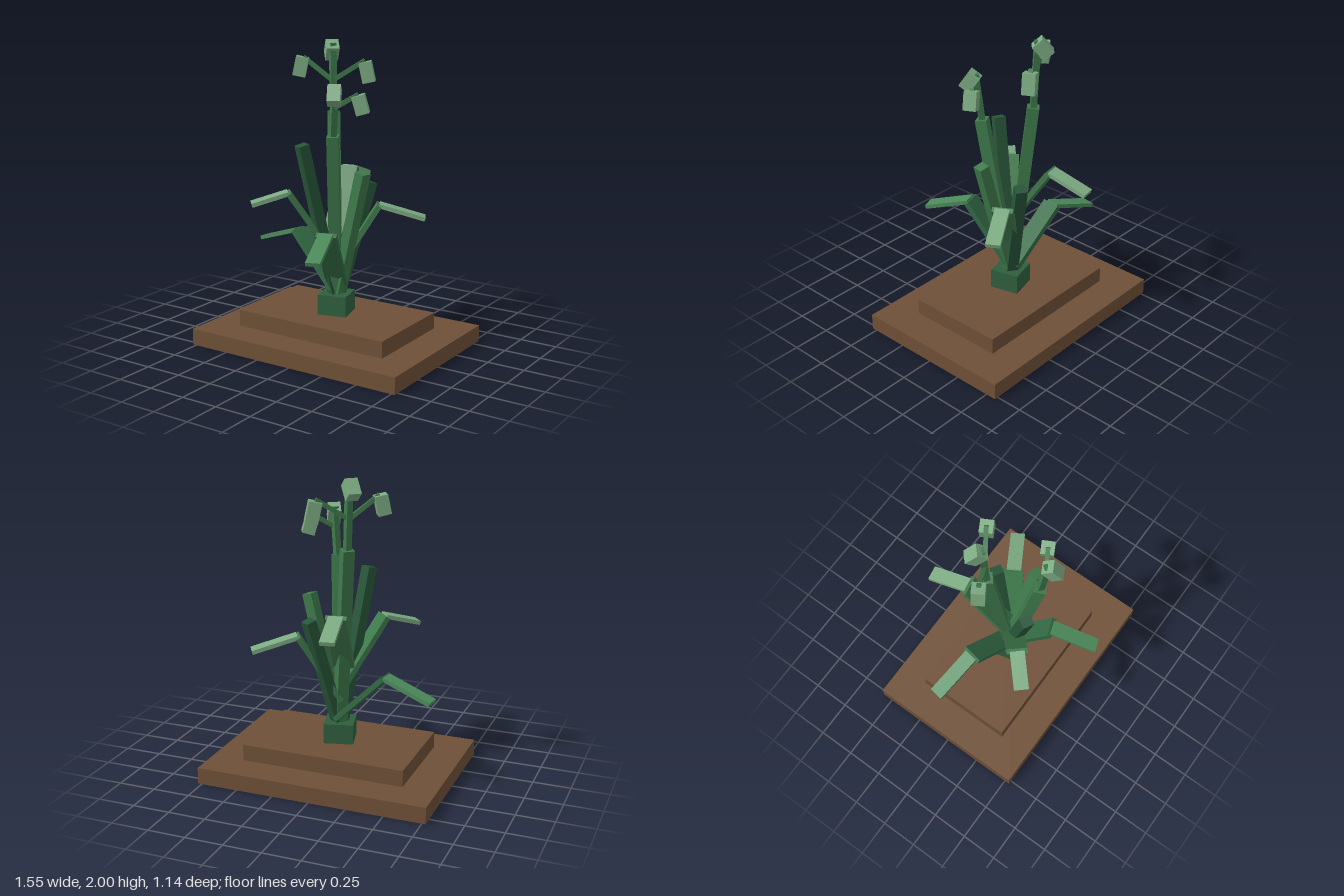
import * as THREE from 'three';

const mat = (name, color) => {
  const m = new THREE.MeshStandardMaterial({ color });
  m.name = name;
  return m;
};

export function createModel() {
  const root = new THREE.Group();
  root.name = 'pottedFlower';

  const soil = mat('soilBrown', 0x6f5037);
  const crownGreen = mat('crownGreen', 0x2f5f3e);
  const darkGreen = mat('darkGreen', 0x28563a);
  const midGreen = mat('midGreen', 0x3f7a4c);
  const deepLeaf = mat('deepLeafGreen', 0x336b45);
  const freshLeaf = mat('freshLeafGreen', 0x4c8a5a);
  const paleGreen = mat('paleGreen', 0x7cab82);

  const add = (parent, name, geometry, material) => {
    const mesh = new THREE.Mesh(geometry, material);
    mesh.name = name;
    parent.add(mesh);
    return mesh;
  };

  // Box running from a to b; its width stays level, across the given heading
  const beam = (parent, name, a, b, width, depth, material, heading) => {
    const p = new THREE.Vector3(...a), q = new THREE.Vector3(...b);
    const up = q.clone().sub(p);
    const length = up.length();
    up.normalize();
    const h = heading ? new THREE.Vector3(heading[0], 0, heading[1]) : new THREE.Vector3(up.x, 0, up.z);
    const side = new THREE.Vector3(h.z, 0, -h.x);
    side.addScaledVector(up, -side.dot(up)).normalize();
    const out = new THREE.Vector3().crossVectors(side, up);
    const mesh = add(parent, name, new THREE.BoxGeometry(width, length, depth), material);
    mesh.quaternion.setFromRotationMatrix(new THREE.Matrix4().makeBasis(side, up, out));
    mesh.position.copy(p).add(q).multiplyScalar(0.5);
    return mesh;
  };

  // Two stepped slabs of earth
  add(root, 'lowerSoilSlab', new THREE.BoxGeometry(1.55, 0.11, 1.105), soil).position.set(0, 0.055, -0.018);
  add(root, 'upperSoilSlab', new THREE.BoxGeometry(1.105, 0.11, 0.665), soil).position.set(0, 0.165, -0.018);

  // Crown block from which everything grows
  const crown = add(root, 'crown', new THREE.BoxGeometry(0.195, 0.135, 0.195), crownGreen);
  crown.position.set(0, 0.2875, -0.013);
  crown.rotation.y = 0.25;

  // Straight shoots
  const foot = [0, 0.3, -0.015];
  [
    ['frontShoot', [-0.12, 1.36, 0.2], darkGreen],
    ['backShoot', [0.135, 1.08, -0.215], darkGreen],
    ['sideShoot', [0.23, 1.19, 0.03], midGreen],
  ].forEach(([name, top, m]) => beam(root, name, foot, top, 0.075, 0.07, m));

  // Bent leaves: a rising blade and a narrower drooping tip
  [
    ['rightLeaf', [0, 0.38, -0.025], [-0.34, 0.72, -0.083], [-0.667, 0.61, -0.135], deepLeaf, freshLeaf],
    ['frontLeaf', [0.01, 0.42, -0.01], [0.1, 0.815, 0.255], [0.2, 0.71, 0.55], deepLeaf, freshLeaf],
    ['leftLeaf', [0, 0.51, -0.018], [0.24, 0.95, -0.155], [0.495, 0.865, -0.305], midGreen, paleGreen],
    ['frontRightLeaf', [0, 0.6, 0.01], [-0.225, 1.04, 0.205], [-0.4, 0.972, 0.365], midGreen, paleGreen],
    ['backLeaf', [-0.03, 0.74, -0.02], [-0.078, 1.145, -0.285], [-0.122, 1.06, -0.545], midGreen, paleGreen],
  ].forEach(([name, base, bend, tip, bladeMat, tipMat]) => {
    const leaf = new THREE.Group();
    leaf.name = name;
    root.add(leaf);
    beam(leaf, 'leafBlade', base, bend, 0.135, 0.035, bladeMat);
    beam(leaf, 'leafTip', bend, tip, 0.095, 0.027, tipMat);
  });

  // Flower stalks: thick stalk, thin neck, side twigs and hanging buds
  const stalk = (name, top, neckTop, fork, twigs, buds) => {
    const g = new THREE.Group();
    g.name = name;
    root.add(g);
    beam(g, 'stalk', foot, top, 0.075, 0.075, midGreen);
    beam(g, 'neck', top, neckTop, 0.04, 0.04, midGreen);
    twigs.forEach((end) => beam(g, 'twig', fork, end, 0.028, 0.028, midGreen));
    buds.forEach(([a, b]) => beam(g, 'bud', a, b, 0.083, 0.083, paleGreen));
  };

  stalk('tallFlowerStalk', [-0.09, 1.54, -0.12], [-0.108, 1.975, -0.135], [-0.1, 1.735, -0.122],
    [[-0.27, 1.885, -0.038], [0.075, 1.865, -0.235]],
    [
      [[-0.105, 1.97, -0.13], [-0.155, 1.885, -0.185]],
      [[-0.273, 1.885, -0.036], [-0.295, 1.763, -0.023]],
      [[0.075, 1.855, -0.235], [0.1, 1.725, -0.248]],
    ]);

  stalk('shortFlowerStalk', [0.085, 1.43, 0.155], [0.115, 1.74, 0.178], [0.108, 1.61, 0.172],
    [[0.235, 1.695, 0.097]],
    [
      [[0.115, 1.74, 0.178], [0.145, 1.645, 0.236]],
      [[0.233, 1.69, 0.097], [0.262, 1.575, 0.082]],
    ]);

  return root;
}
